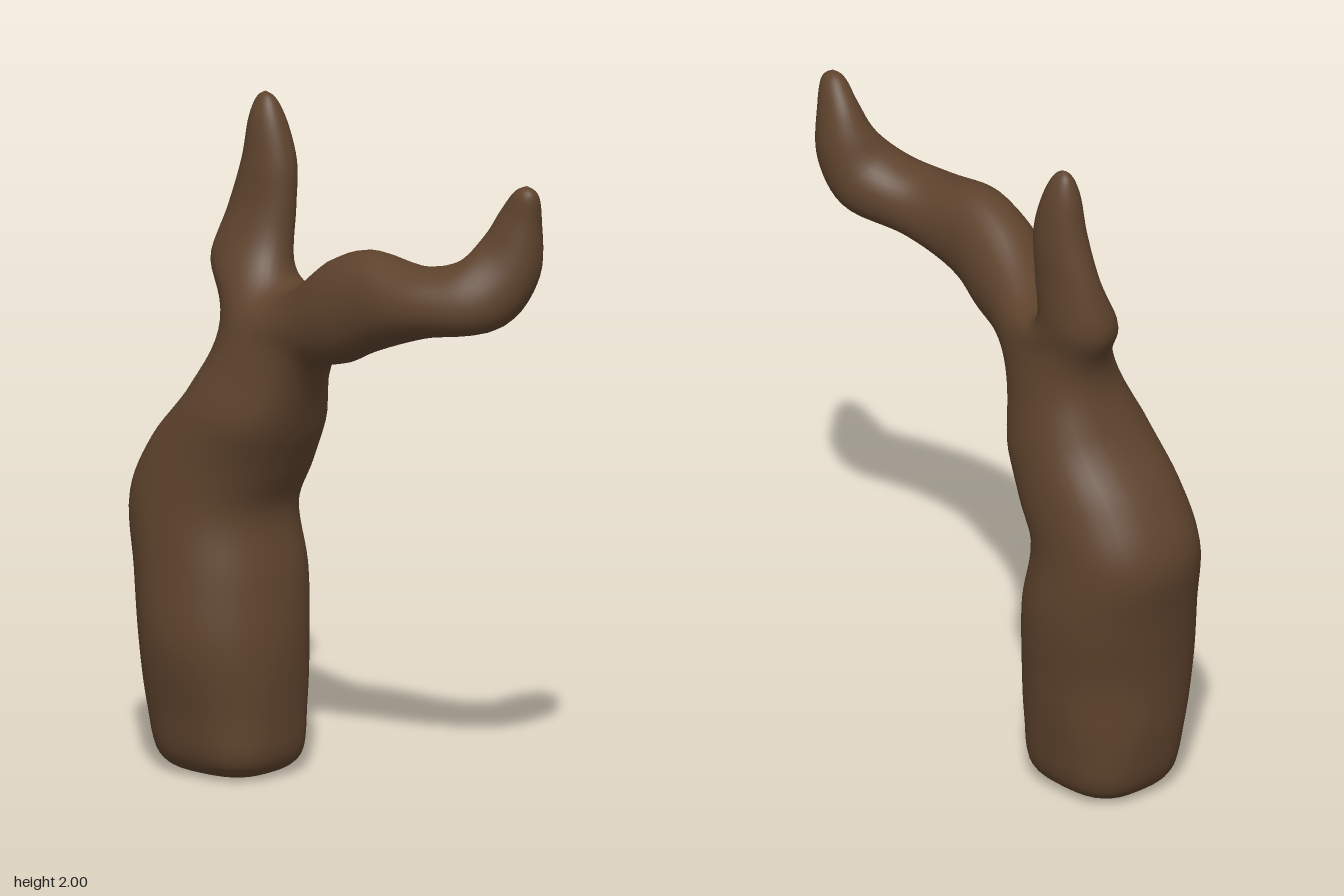
import * as THREE from 'three';
import { mergeGeometries, mergeVertices } from 'three/addons/utils/BufferGeometryUtils.js';

const N = 32;     // points around each ring
const HALF = N / 2;
const STEPS = 6;  // subdivisions between rings

// Ring: centre, half width in x, half depth, tilt (0 = level, PI/2 = upright facing +z),
// roundness (1 = ellipse, lower = squarer) and sideways shear from back to front
function ring([cx, cy, cz, w, d, tilt = 0, round = 0.95, shear = 0]) {
  const soft = (v) => Math.sign(v) * Math.pow(Math.abs(v) < 1e-9 ? 0 : Math.abs(v), round);
  return Array.from({ length: N }, (_, k) => {
    const t = (k / N) * Math.PI * 2;
    const u = w * soft(Math.cos(t)), v = d * soft(Math.sin(t));
    return new THREE.Vector3(cx + u + shear * v, cy - v * Math.sin(tilt), cz + v * Math.cos(tilt));
  });
}

// Smooth skin through rings, drawn only between ring indices from..to
function skin(rings, from, to) {
  const last = rings.length - 1;
  const rows = (to - from) * STEPS;
  const positions = [], index = [];
  const curves = Array.from({ length: N }, (_, k) => new THREE.CatmullRomCurve3(rings.map((r) => r[k])));
  for (let i = 0; i <= rows; i++) {
    for (const curve of curves) positions.push(...curve.getPoint((from + i / STEPS) / last).toArray());
  }
  for (let i = 0; i < rows; i++) {
    for (let k = 0; k < N; k++) {
      const a = i * N + k, b = i * N + (k + 1) % N;
      index.push(b, a, a + N, b, a + N, b + N);
    }
  }
  const geometry = new THREE.BufferGeometry();
  geometry.setAttribute('position', new THREE.Float32BufferAttribute(positions, 3));
  geometry.setIndex(index);
  return geometry;
}

// Relax the vertices towards their neighbours within a radius of a centre
function relax(geometry, centre, radius, rounds) {
  const pos = geometry.attributes.position, idx = geometry.index.array;
  const points = Array.from({ length: pos.count }, (_, i) => new THREE.Vector3().fromBufferAttribute(pos, i));
  const near = points.map(() => new Set());
  for (let i = 0; i < idx.length; i += 3) {
    for (let j = 0; j < 3; j++) {
      const a = idx[i + j], b = idx[i + (j + 1) % 3];
      if (a !== b) { near[a].add(b); near[b].add(a); }
    }
  }
  const weights = points.map((p) => 0.6 * (1 - THREE.MathUtils.smoothstep(p.distanceTo(centre), radius * 0.6, radius)));
  for (let r = 0; r < rounds; r++) {
    const moved = points.map((p, i) => {
      const mean = new THREE.Vector3();
      near[i].forEach((j) => mean.addScaledVector(points[j], 1 / near[i].size));
      return p.clone().lerp(mean, weights[i]);
    });
    moved.forEach((p, i) => points[i].copy(p));
  }
  points.forEach((p, i) => pos.setXYZ(i, p.x, p.y, p.z));
}

export function createModel() {
  const group = new THREE.Group();
  const bark = new THREE.MeshStandardMaterial({ color: 0x5e432d });
  bark.name = 'bark brown';

  // Trunk, from the closed base up to just under the fork
  const trunk = [
    [0, 0.005, -0.41, 0, 0],
    [0, 0.008, -0.41, 0.12, 0.14, 0, 0.7],
    [0, 0.05, -0.41, 0.175, 0.193, 0, 0.7],
    [-0.002, 0.2, -0.42, 0.207, 0.22, 0, 0.8, 0.03],
    [-0.01, 0.4, -0.425, 0.24, 0.235, 0, 0.94, 0.05],
    [0.005, 0.6, -0.45, 0.245, 0.24, 0, 0.92, 0.03],
    [0.01, 0.8, -0.48, 0.23, 0.24, 0.05, 0.88],
    [0.015, 0.95, -0.415, 0.22, 0.232, 0.15, 0.88],
    [0.01, 1.13, -0.3, 0.205, 0.213, 0.15, 0.9, -0.12],
  ].map(ring);
  // Rim of the fork, raised at both sides and more so at the left
  const fork = ring([0.012, 1.3, -0.23, 0.163, 0.236, 0.18, 0.92, -0.24]);
  fork.forEach((p, k) => {
    const c = Math.cos((k / N) * Math.PI * 2);
    p.y += c * c * (0.055 + 0.025 * c);
  });

  // Long branch reaching forward, then curling up to a tip
  const branch = [
    [-0.055, 1.425, 0.03, 0.127, 0.147, 1.2],
    [-0.08, 1.503, 0.2, 0.11, 0.15, 1.45],
    [-0.07, 1.528, 0.4, 0.12, 0.104, 1.45],
    [-0.005, 1.57, 0.565, 0.124, 0.113, 0.98],
    [0.05, 1.68, 0.632, 0.085, 0.102, 0.7],
    [0.06, 1.8, 0.658, 0.054, 0.066, 0.25],
    [0.052, 1.88, 0.687, 0.027, 0.034, 0.1],
    [0.05, 1.9, 0.69, 0, 0],
  ].map(ring);

  // Short upright branch
  const spike = [
    [0.077, 1.5, -0.387, 0.108, 0.138],
    [0.108, 1.65, -0.383, 0.075, 0.113],
    [0.12, 1.8, -0.365, 0.065, 0.088],
    [0.12, 1.93, -0.373, 0.045, 0.055],
    [0.12, 1.985, -0.378, 0.02, 0.026],
    [0.12, 2, -0.38, 0, 0],
  ].map(ring);

  // Saddle between the branches, an arch running from side to side
  const left = fork[0], right = fork[HALF];
  const saddle = Array.from({ length: HALF + 1 }, (_, k) => {
    const p = left.clone().lerp(right, (1 - Math.cos((k / HALF) * Math.PI)) / 2);
    const rise = Math.sin((k / HALF) * Math.PI);
    return p.add(new THREE.Vector3(0, 0.1 * rise, 0.04 * rise));
  });

  // Each branch starts from half the trunk's rim plus the saddle
  const under = trunk[trunk.length - 1];
  const isFront = (k) => k <= HALF;
  const isBack = (k) => k === 0 || k >= HALF;
  const branchRoot = fork.map((p, k) => (isFront(k) ? p : saddle[N - k]));
  const spikeRoot = fork.map((p, k) => (isBack(k) ? p : saddle[k]));
  // Guide rings keep the skin smooth where the three limbs meet
  const branchGuide = under.map((p, k) => (isFront(k) ? p : spike[0][N - k]));
  const spikeGuide = under.map((p, k) => (isBack(k) ? p : branch[0][N - k]));
  const trunkGuide = fork.map((_, k) => (isFront(k) ? branch[0][k] : spike[0][k]));

  const trunkRings = [...trunk, fork, trunkGuide];
  const branchRings = [branchGuide, branchRoot, ...branch];
  const spikeRings = [spikeGuide, spikeRoot, ...spike];
  const merged = mergeVertices(mergeGeometries([
    skin(trunkRings, 0, trunkRings.length - 2),
    skin(branchRings, 1, branchRings.length - 1),
    skin(spikeRings, 1, spikeRings.length - 1),
  ]), 1e-4);
  relax(merged, new THREE.Vector3(0, 1.36, -0.2), 0.36, 12);
  merged.computeVertexNormals();

  const mesh = new THREE.Mesh(merged, bark);
  mesh.name = 'forkedTrunk';
  group.add(mesh);
  return group;
}
